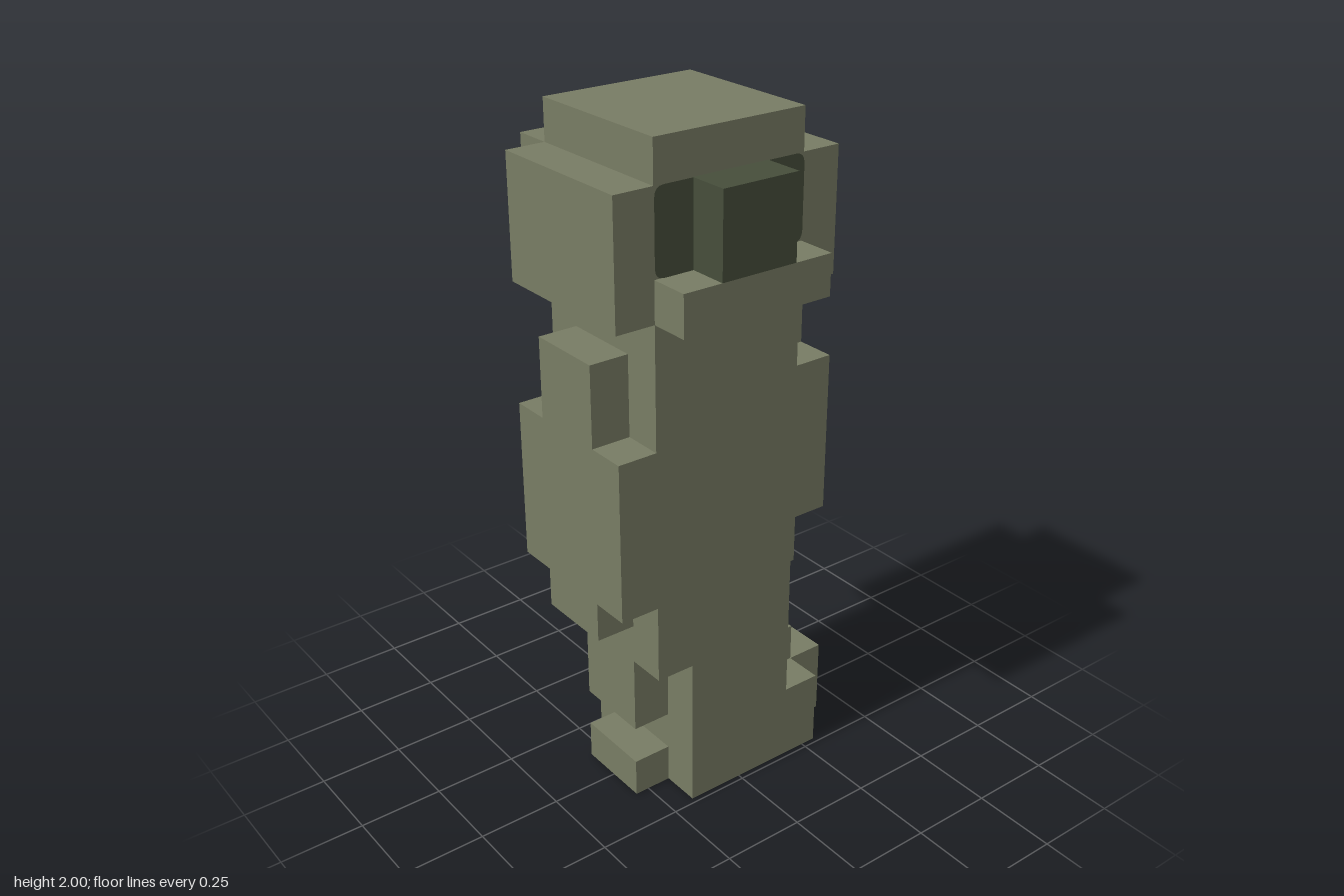
import * as THREE from 'three';

const U = 2 / 17; // edge of one block

// [name, x0, x1, y0, y1, z0, z1] in blocks
const BLOCKS = [
  // core column
  ['torso', -2, 2, 4, 17, -1.5, 2.5],
  ['lowerLeg', -2, 2, 0, 4, -1.5, 1.5],
  // head padding
  ['headFront', -2, 2, 13, 16, 2.5, 3.5],
  ['headBack', -2, 2, 13, 16, -2.5, -1.5],
  ['headRight', -3, -2, 13, 16, -1.5, 2.5],
  ['headLeftLedge', 2, 3, 13, 14, -1.5, 2.5],
  // front bulge
  ['frontBulge', -2, 2, 6, 10, 2.5, 3.5],
  ['frontBulgeTop', -1, 1, 10, 12, 2.5, 3.5],
  ['frontBulgeBottom', -1, 1, 5, 6, 2.5, 3.5],
  ['frontShin', -1, 1, 2, 4, 1.5, 2.5],
  ['frontToe', -1, 1, 0, 1, 1.5, 2.5],
  // back bulge
  ['backBulge', -2, 2, 7, 11, -2.5, -1.5],
  ['backNeck', -1, 1, 11, 13, -2.5, -1.5],
  ['backBulgeBottom', -1, 1, 5, 7, -2.5, -1.5],
  // heel
  ['heel', -2, 2, 0, 2, -2.5, -1.5],
  ['heelTop', -1, 1, 2, 3, -2.5, -1.5],
  ['heelEnd', -1, 1, 0, 2, -3.5, -2.5],
];

function block([name, x0, x1, y0, y1, z0, z1], material) {
  const geo = new THREE.BoxGeometry((x1 - x0) * U, (y1 - y0) * U, (z1 - z0) * U);
  const mesh = new THREE.Mesh(geo, material);
  mesh.name = name;
  mesh.position.set((x0 + x1) / 2 * U, (y0 + y1) / 2 * U, (z0 + z1) / 2 * U);
  return mesh;
}

// flat rounded panel, centred, facing +z
function panel(w, h, r) {
  const a = w / 2 * U, b = h / 2 * U, c = r * U;
  const s = new THREE.Shape();
  s.moveTo(-a + c, -b);
  s.lineTo(a - c, -b);
  s.quadraticCurveTo(a, -b, a, -b + c);
  s.lineTo(a, b - c);
  s.quadraticCurveTo(a, b, a - c, b);
  s.lineTo(-a + c, b);
  s.quadraticCurveTo(-a, b, -a, b - c);
  s.lineTo(-a, -b + c);
  s.quadraticCurveTo(-a, -b, -a + c, -b);
  return new THREE.ShapeGeometry(s, 4);
}

export function createModel() {
  const model = new THREE.Group();
  model.name = 'blockFigure';
  const olive = new THREE.MeshStandardMaterial({ color: 0x787c64 });
  olive.name = 'olive';
  const darkOlive = new THREE.MeshStandardMaterial({ color: 0x464e3b });
  darkOlive.name = 'dark olive';

  for (const b of BLOCKS) model.add(block(b, olive));

  // dark knob in the recess on the left of the head
  model.add(block(['headKnob', 2, 3, 14, 16, -0.5, 1.5], darkOlive));

  // dark backing of the recess
  const recess = new THREE.Mesh(panel(4, 2, 0.25).rotateY(Math.PI / 2), darkOlive);
  recess.name = 'recessPanel';
  recess.position.set(2 * U + 0.003, 15 * U, 0.5 * U);
  model.add(recess);

  // dark patch under the foot
  const sole = new THREE.Mesh(panel(1.5, 4.2, 0.4).rotateX(Math.PI / 2), darkOlive);
  sole.name = 'solePatch';
  sole.position.set(0.35 * U, -0.002, -1 * U);
  model.add(sole);

  return model;
}
